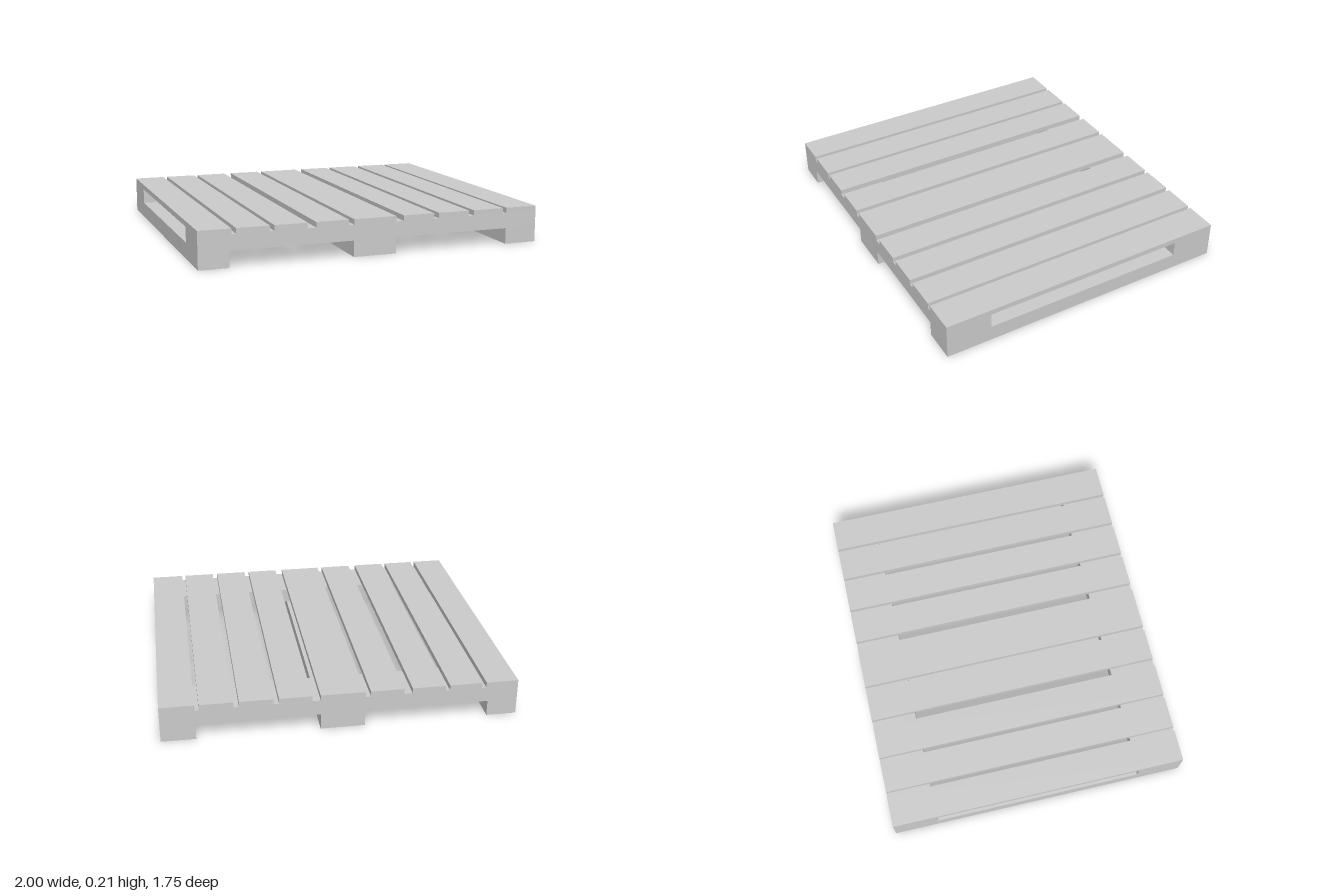
import * as THREE from 'three';

const material = new THREE.MeshStandardMaterial({ color: 0xcccccc, flatShading: true });

// Box given by its low and high limits on each axis
function board(name, [x0, x1], [y0, y1], [z0, z1]) {
  const mesh = new THREE.Mesh(new THREE.BoxGeometry(x1 - x0, y1 - y0, z1 - z0), material);
  mesh.name = name;
  mesh.position.set((x0 + x1) / 2, (y0 + y1) / 2, (z0 + z1) / 2);
  return mesh;
}

export function createModel() {
  const pallet = new THREE.Group();
  pallet.name = 'pallet';
  const depth = [-0.873, 0.873];

  // Bottom runners, front to back
  const runners = { rightRunner: [-1, -0.83], middleRunner: [-0.13, 0.12], leftRunner: [0.807, 1] };
  for (const [name, x] of Object.entries(runners)) {
    pallet.add(board(name, x, [0, 0.092], depth));
  }

  // Wide cross boards at the front and back ends
  pallet.add(board('frontCrossBoard', [-1, 1], [0.092, 0.18], [0.605, 0.873]));
  pallet.add(board('backCrossBoard', [-1, 1], [0.092, 0.18], [-0.873, -0.612]));

  // Deck slats with narrow gaps
  const slats = [
    [-1, -0.817], [-0.792, -0.608], [-0.583, -0.395], [-0.348, -0.16], [-0.13, 0.12],
    [0.165, 0.35], [0.38, 0.568], [0.598, 0.785], [0.807, 1],
  ];
  slats.forEach((x, i) => pallet.add(board(`deckSlat${i + 1}`, x, [0.18, 0.211], depth)));

  return pallet;
}
